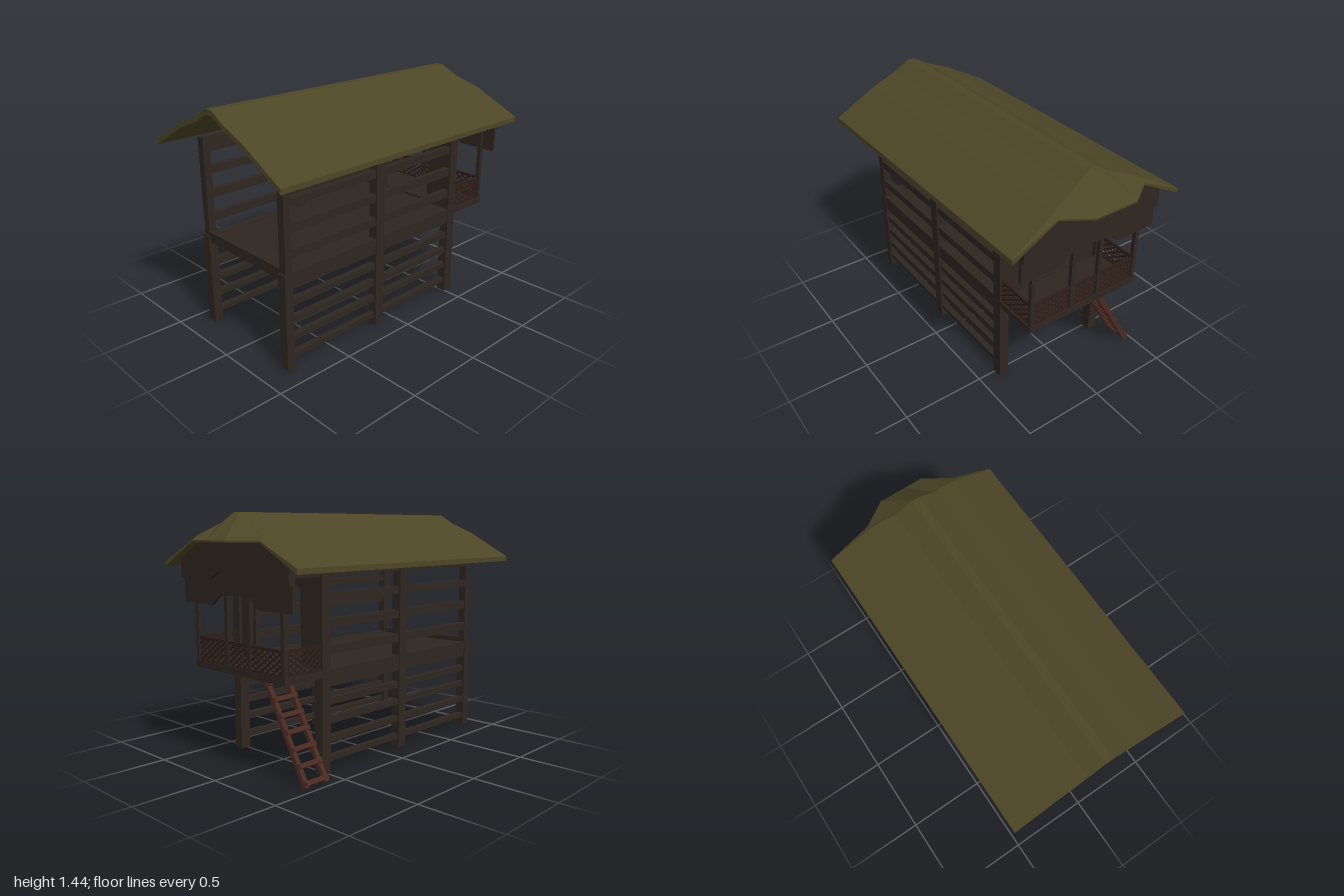
import * as THREE from 'three';

const paint = (color, side = THREE.FrontSide) =>
  new THREE.MeshStandardMaterial({ color, side, roughness: 0.9, flatShading: true });
const wood = paint(0x2e2620);
const redWood = paint(0x4a2a20);
const latticeWood = paint(0x2e1d17);
const thatch = paint(0x4d4626);

export function createModel() {
  const model = new THREE.Group();

  const add = (name, geo, mat, parent = model) => {
    const mesh = new THREE.Mesh(geo, mat);
    mesh.name = name;
    parent.add(mesh);
    return mesh;
  };
  // Box given by its limits on each axis
  const box = (name, [x0, x1], [y0, y1], [z0, z1], mat = wood, parent = model) => {
    const mesh = add(name, new THREE.BoxGeometry(x1 - x0, y1 - y0, z1 - z0), mat, parent);
    mesh.position.set((x0 + x1) / 2, (y0 + y1) / 2, (z0 + z1) / 2);
    return mesh;
  };
  // Upright panel across the building; half outline of (z, y) is mirrored
  const panel = (name, half, x, depth) => {
    const mirrored = half.map(([z, y]) => [-z, y]).reverse();
    const shape = new THREE.Shape([...half, ...mirrored].map(p => new THREE.Vector2(...p)));
    const geo = new THREE.ExtrudeGeometry(shape, { depth, bevelEnabled: false });
    geo.rotateY(Math.PI / 2);
    add(name, geo, wood).position.x = x;
  };

  // Posts, slats and beams of the two long sides
  for (const s of [1, -1]) {
    const zs = (a, b) => (s > 0 ? [a, b] : [-b, -a]);
    box('rearPostLower', [-0.855, -0.8], [0.02, 0.6], zs(0.325, 0.385));
    box('rearPostUpper', [-0.845, -0.8], [0.6, 1.2], zs(0.33, 0.38));
    box('middlePost', [-0.17, -0.105], [0.02, 1.2], zs(0.325, 0.385));
    box('frontPost', [0.49, 0.555], [0.01, 1.2], zs(0.325, 0.385));
    const slats = [[0.075, 0.105], [0.185, 0.22], [0.292, 0.33], [0.4, 0.438],
      [0.682, 0.732], [0.828, 0.878], [0.976, 1.02]];
    for (const y of slats) box('sideSlat', [-0.82, 0.52], y, zs(0.337, 0.375));
    box('floorBeam', [-0.82, 0.52], [0.505, 0.6], zs(0.33, 0.38));
    box('eavesBeam', [-0.82, 0.82], [1.11, 1.2], zs(0.34, 0.375));
  }

  // Floor, rear sill and front wall with its doorway
  box('mainFloor', [-0.82, 0.52], [0.565, 0.595], [-0.34, 0.34]);
  box('rearSill', [-0.845, -0.81], [0.56, 0.625], [-0.34, 0.34]);
  panel('frontWall', [[0.195, 0.58], [0.36, 0.58], [0.36, 1.24], [0.29, 1.29], [0.13, 1.355],
    [0.02, 1.415]].concat([]).reverse().concat([[0.195, 1.03], [0.12, 1.08]]), 0.5, 0.035);

  // Balcony deck and its slim posts
  box('balconyDeck', [0.54, 0.828], [0.56, 0.6], [-0.387, 0.387]);
  for (const z of [-0.37, -0.097, 0.097, 0.37])
    box('balconyPost', [0.803, 0.827], [0.59, 1.2], [z - 0.013, z + 0.013]);

  // Lattice of crossed strips, clipped to a width and height
  const lattice = (width, height) => {
    const group = new THREE.Group();
    group.name = 'balconyLattice';
    const slope = 0.7, step = 0.048, run = height / slope;
    for (let u = -Math.floor(run / step) * step; u < width; u += step) {
      const a = Math.max(0, u), b = Math.min(width, u + run);
      if (b - a < 0.004) continue;
      const rise = slope * (b - a);
      for (const m of [1, -1]) {
        const strip = add('latticeStrip',
          new THREE.BoxGeometry(Math.hypot(b - a, rise), 0.008, 0.006), latticeWood, group);
        const cx = (a + b) / 2;
        strip.position.set(m > 0 ? cx : width - cx, slope * (cx - u), m * 0.002);
        strip.rotation.z = m * Math.atan(slope);
      }
    }
    box('topRail', [0, width], [height - 0.01, height + 0.004], [-0.007, 0.007], latticeWood, group);
    box('bottomRail', [0, width], [-0.004, 0.008], [-0.007, 0.007], latticeWood, group);
    model.add(group);
    return group;
  };
  const front = lattice(0.72, 0.14);
  front.rotation.y = Math.PI / 2;
  front.position.set(0.815, 0.6, 0.36);
  for (const z of [-0.37, 0.37]) lattice(0.255, 0.14).position.set(0.55, 0.6, z);

  // Two layered valance boards with arched lower edges
  panel('lowerValance', [[0.1, 1.0], [0.13, 0.995], [0.16, 0.978], [0.18, 0.955], [0.205, 0.94],
    [0.465, 0.94], [0.465, 1.17]], 0.822, 0.018);
  panel('upperValance', [[0.06, 1.13], [0.11, 1.127], [0.15, 1.11], [0.18, 1.09], [0.22, 1.08],
    [0.465, 1.08], [0.465, 1.19], [0.29, 1.285], [0.1, 1.35]], 0.84, 0.02);

  // Roof: rear edge, hip crease and visor edge rows, each with top and underside
  const rows = [
    [[-1, 0.565, 1.175], [-1, 0.29, 1.325], [-1, 0.13, 1.39], [-1, 0.025, 1.45]],
    [[0.895, 0.565, 1.175], [0.865, 0.29, 1.325], [0.825, 0.13, 1.39], [0.81, 0.025, 1.45]],
    [[0.9, 0.565, 1.175], [0.9, 0.29, 1.303], [1, 0.14, 1.303], [1, 0.025, 1.303]],
  ].map(r => [...r, ...r.map(([x, z, y]) => [x, -z, y]).reverse()]);
  const pos = [], index = [], cols = 8, layer = rows.length * cols;
  for (const under of [0, 1])
    rows.forEach((row, r) => row.forEach(([x, z, y], c) => {
      const thick = r === 2 && c > 0 && c < 7 ? 0.01 : 0.03;
      pos.push(x, y - under * thick, z);
    }));
  const quad = (a, b, c, d) => index.push(a, b, c, a, c, d);
  for (let r = 0; r < 2; r++) {
    for (let c = 0; c < cols - 1; c++) {
      const a = r * cols + c, b = a + cols;
      quad(a, b, b + 1, a + 1);
      quad(a + layer, a + 1 + layer, b + 1 + layer, b + layer);
    }
    const l = r * cols, k = l + cols - 1;
    quad(l, l + layer, l + cols + layer, l + cols);
    quad(k, k + cols, k + cols + layer, k + layer);
  }
  for (let c = 0; c < cols - 1; c++) {
    const e = 2 * cols + c;
    quad(c, c + 1, c + 1 + layer, c + layer);
    quad(e, e + layer, e + 1 + layer, e + 1);
  }
  const roof = new THREE.BufferGeometry();
  roof.setAttribute('position', new THREE.Float32BufferAttribute(pos, 3));
  roof.setIndex(index);
  const roofFlat = roof.toNonIndexed();
  roofFlat.computeVertexNormals();
  add('roof', roofFlat, thatch);

  // Leaning ladder under the balcony
  const ladder = new THREE.Group();
  ladder.name = 'ladder';
  const length = Math.hypot(0.325, 0.56);
  for (const x of [0.605, 0.75])
    box('ladderRail', [x - 0.014, x + 0.014], [0, length], [-0.013, 0.013], redWood, ladder);
  for (let i = 0; i < 7; i++) {
    const y = 0.01 + i * 0.095;
    box('ladderRung', [0.595, 0.76], [y, y + 0.026], [-0.026, 0.012], redWood, ladder);
  }
  ladder.position.set(0, 0.012, -0.46);
  ladder.rotation.x = Math.atan2(0.325, 0.56);
  model.add(ladder);

  return model;
}
